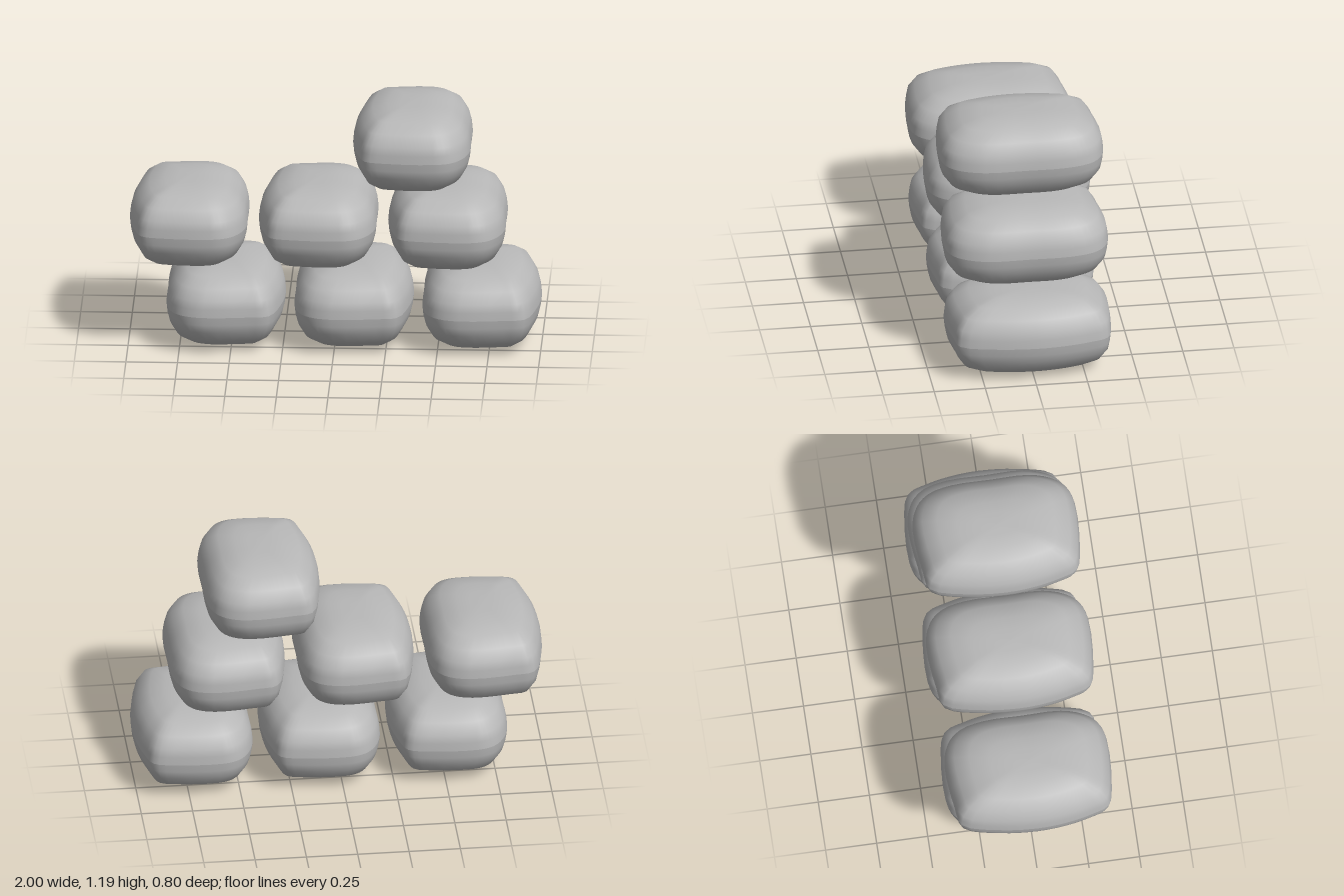
import * as THREE from 'three';

// Plan outline of a bag at its seam, as [x, z]
const OUTLINE = [
  [0.285, -0.19], [0.287, 0], [0.285, 0.2], [0.25, 0.31], [0.2, 0.37], [0.12, 0.398],
  [-0.12, 0.388], [-0.215, 0.36], [-0.25, 0.27], [-0.275, 0.15], [-0.285, 0],
  [-0.265, -0.2], [-0.215, -0.36], [-0.12, -0.382], [0.1, -0.4], [0.2, -0.37], [0.255, -0.31],
];
// Rings from seam to crown: [x scale, z scale, height]
const RINGS = [
  [1, 1, 0], [0.985, 0.99, 0.04], [0.95, 0.972, 0.08], [0.85, 0.885, 0.132],
  [0.67, 0.71, 0.172], [0.41, 0.475, 0.19], [0.2, 0.24, 0.194], [0, 0, 0.195],
];

// One half of a bag, swept from seam to crown; side is 1 for top, -1 for bottom
function halfBag(side) {
  const curve = new THREE.CatmullRomCurve3(
    OUTLINE.map(([x, z]) => new THREE.Vector3(x, 0, z)), true);
  const n = 51;
  const plan = curve.getPoints(n).slice(0, n);
  const pos = [], idx = [];
  for (const [sx, sz, h] of RINGS)
    for (const p of plan) pos.push(p.x * sx, side * h, p.z * sz);
  for (let i = 0; i < RINGS.length - 1; i++)
    for (let j = 0; j < n; j++) {
      const a = i * n + j, c = i * n + (j + 1) % n, b = a + n, d = c + n;
      if (side > 0) idx.push(a, b, c, c, b, d);
      else idx.push(a, c, b, c, d, b);
    }
  const geo = new THREE.BufferGeometry();
  geo.setAttribute('position', new THREE.Float32BufferAttribute(pos, 3));
  geo.setIndex(idx);
  geo.computeVertexNormals();
  return geo;
}

export function createModel() {
  const model = new THREE.Group();
  model.name = 'sandbagStack';
  const cloth = new THREE.MeshStandardMaterial({ color: 0xb8b8b8 });
  cloth.name = 'grey cloth';
  const upper = halfBag(1), lower = halfBag(-1);

  // Rows of bags; the bottom row is turned end for end
  const rows = [
    { name: 'bottomRow', y: 0.2, turn: Math.PI, xs: [-0.53, 0.09, 0.71] },
    { name: 'middleRow', y: 0.6, turn: 0, xs: [-0.715, -0.09, 0.537] },
    { name: 'topRow', y: 0.997, turn: 0, xs: [0.367] },
  ];
  for (const { name, y, turn, xs } of rows) {
    const row = new THREE.Group();
    row.name = name;
    xs.forEach((x, i) => {
      const bag = new THREE.Group();
      bag.name = `sandbag${i + 1}`;
      const top = new THREE.Mesh(upper, cloth);
      top.name = 'bagTop';
      const bottom = new THREE.Mesh(lower, cloth);
      bottom.name = 'bagBottom';
      bag.add(top, bottom);
      bag.position.set(x, y, 0);
      bag.rotation.y = turn;
      row.add(bag);
    });
    model.add(row);
  }
  return model;
}
